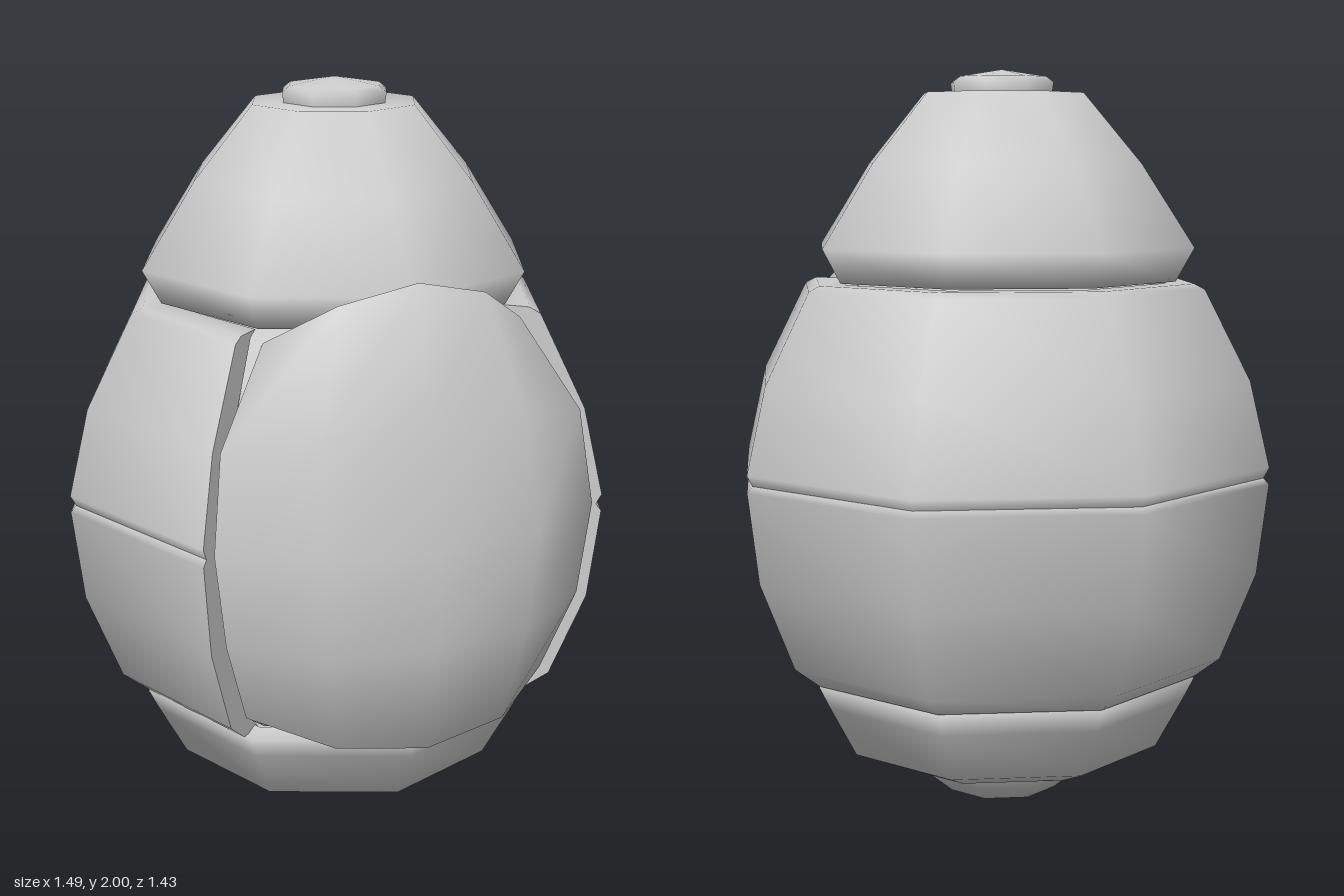
import * as THREE from 'three';

const SIDES = 8;
const AXIS_Z = 0.025;
const QUARTER = Math.PI / 4;
const material = new THREE.MeshStandardMaterial({ color: 0xcccccc, side: THREE.DoubleSide });
const vectors = (pairs) => pairs.map(([r, y]) => new THREE.Vector2(r, y));

function addMesh(parent, name, geometry, z = AXIS_Z) {
  const mesh = new THREE.Mesh(geometry, material);
  mesh.name = name;
  mesh.position.z = z;
  parent.add(mesh);
}

// Full eight-sided ring, profile listed from bottom to top
function addTurned(parent, name, profile, z) {
  addMesh(parent, name, new THREE.LatheGeometry(vectors(profile), SIDES), z);
}

// Widen the front opening slightly by moving the two cut edges sideways
function widenOpening(geometry) {
  const p = geometry.attributes.position;
  for (let i = 0; i < p.count; i++) {
    const x = p.getX(i), z = p.getZ(i);
    if (z > 0 && Math.abs(Math.abs(x) - z) < 0.01) p.setXYZ(i, x * 1.04, p.getY(i), z * 0.96);
  }
  return geometry;
}

// Thick shell band that is open at the front, with flat walls at the cut
function addBand(parent, name, outer) {
  const inner = outer.map(([r, y]) => [r * 0.86, y]).reverse();
  const outline = vectors([...outer, ...inner, outer[0]]);
  const band = new THREE.Group();
  band.name = name;
  addMesh(band, name + 'Shell',
    widenOpening(new THREE.LatheGeometry(outline, 6, QUARTER, 6 * QUARTER)));
  for (const side of [1, -1]) {
    const wall = new THREE.ShapeGeometry(new THREE.Shape(outline.slice(0, -1)));
    wall.rotateY(side * QUARTER - Math.PI / 2);
    addMesh(band, name + 'CutWall', widenOpening(wall));
  }
  parent.add(band);
}

// Curved shield plate with a skirt that folds back behind its outline
function frontPanel() {
  // half width, edge height, middle height, edge depth, middle depth
  const rows = [
    [0.35, 1.42, 1.57, 0.42, 0.56],
    [0.49, 1.18, 1.25, 0.50, 0.645],
    [0.52, 0.93, 0.93, 0.53, 0.715],
    [0.49, 0.68, 0.66, 0.52, 0.70],
    [0.42, 0.45, 0.375, 0.46, 0.65],
  ];
  const columns = [-1, -0.56, 0, 0.56, 1];
  const geometry = new THREE.PlaneGeometry(2, 2, 6, 6);
  const p = geometry.attributes.position;
  const clamp = (n) => THREE.MathUtils.clamp(n - 1, 0, 4);
  for (let i = 0; i < p.count; i++) {
    const c = i % 7, r = Math.floor(i / 7);
    const u = columns[clamp(c)];
    const [w, yEdge, yMid, zEdge, zMid] = rows[clamp(r)];
    let x = u * w;
    let y = yEdge + (yMid - yEdge) * (1 - u * u);
    let z = zEdge + (zMid - zEdge) * (1 - Math.abs(u) ** 2.5);
    if (c === 0 || c === 6 || r === 0 || r === 6) {
      x *= 0.9;
      y = 0.93 + (y - 0.93) * 0.94;
      z -= 0.1;
    }
    p.setXYZ(i, x, y, z);
  }
  geometry.computeVertexNormals();
  return geometry;
}

export function createModel() {
  const model = new THREE.Group();
  model.name = 'eggShapedCapsule';

  // Foot and lower ring
  addTurned(model, 'foot', [[0, 0.005], [0.155, 0.015], [0.21, 0.06], [0.26, 0.115], [0.26, 0.16]]);
  addTurned(model, 'lowerRing', [[0, 0.115], [0.35, 0.12], [0.445, 0.16], [0.52, 0.3], [0.55, 0.36], [0.5, 0.375]]);

  // Inner core behind the shell and panel
  addTurned(model, 'core', [[0.48, 0.37], [0.55, 0.43], [0.62, 0.66], [0.65, 0.92], [0.6, 1.18], [0.48, 1.41], [0, 1.43]]);

  // Two shell bands meeting at the waist groove
  addBand(model, 'lowerBand', [[0.55, 0.365], [0.62, 0.42], [0.715, 0.66], [0.745, 0.905], [0.73, 0.922]]);
  addBand(model, 'upperBand', [[0.73, 0.922], [0.745, 0.95], [0.69, 1.18], [0.565, 1.42], [0.535, 1.435]]);

  // Front shield
  addMesh(model, 'frontPanel', frontPanel(), 0);

  // Conical cap and top button
  addTurned(model, 'cap', [[0, 1.43], [0.48, 1.44], [0.53, 1.53], [0.385, 1.75], [0.225, 1.937], [0, 1.94]], 0.015);
  addTurned(model, 'topButton', [[0.14, 1.93], [0.145, 1.965], [0.125, 1.98], [0, 2]], 0.02);

  return model;
}
